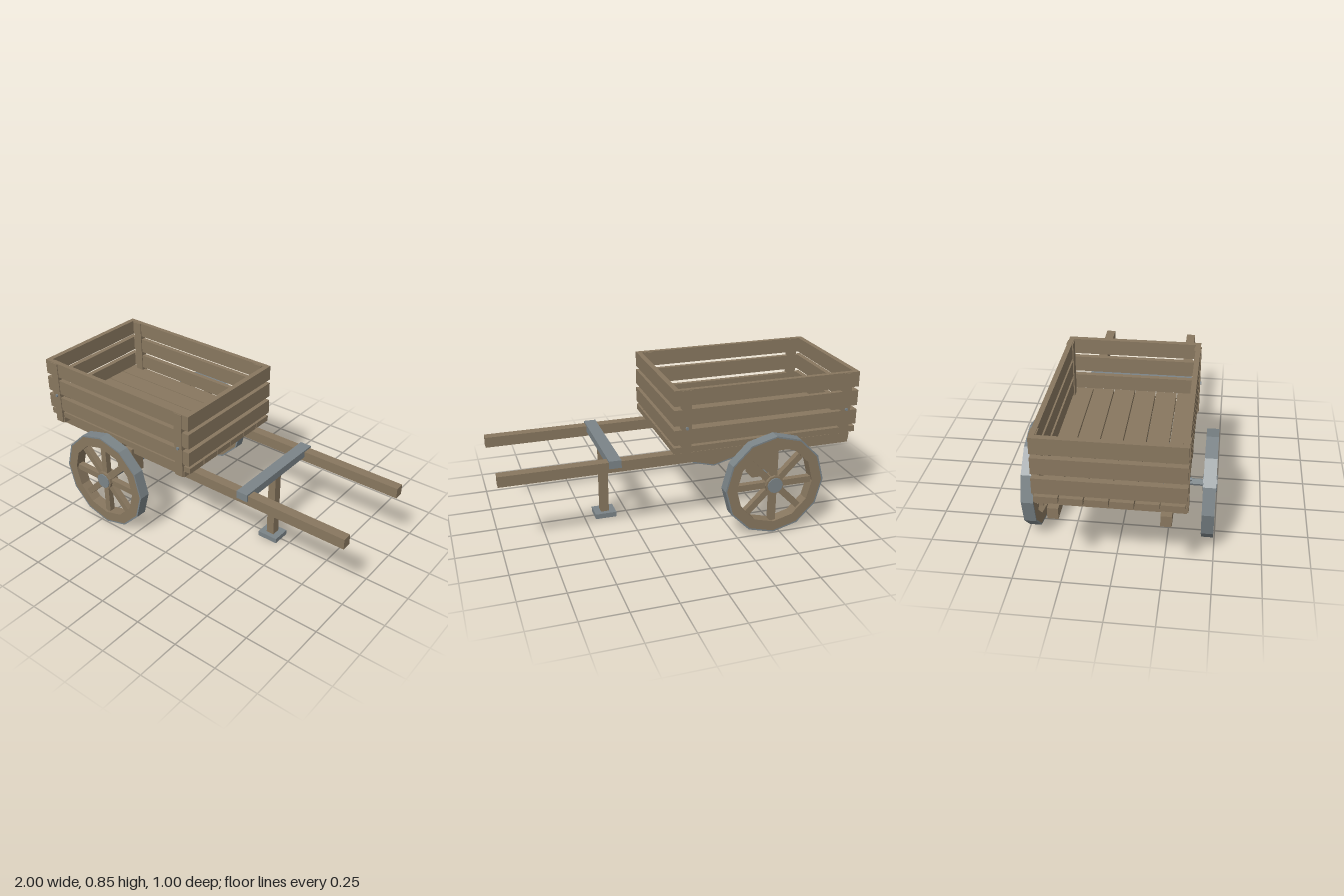
import * as THREE from 'three';

const wood = new THREE.MeshStandardMaterial({ color: 0x88775f, flatShading: true });
wood.name = 'weathered wood';
const steel = new THREE.MeshStandardMaterial({ color: 0x7b8488, flatShading: true });
steel.name = 'grey steel';

const AXLE_X = -0.462, AXLE_Y = 0.29, WHEEL_Z = 0.462;
const POSTS_X = [-0.93, 0.005];

function add(parent, name, geometry, material, x = 0, y = 0, z = 0) {
  const mesh = new THREE.Mesh(geometry, material);
  mesh.name = name;
  mesh.position.set(x, y, z);
  parent.add(mesh);
  return mesh;
}

// Box given by its minimum and maximum on each axis
function beam(parent, name, material, [x0, x1], [y0, y1], [z0, z1]) {
  return add(parent, name, new THREE.BoxGeometry(x1 - x0, y1 - y0, z1 - z0), material,
    (x0 + x1) / 2, (y0 + y1) / 2, (z0 + z1) / 2);
}

// Cylinder lying along z
function rod(parent, name, material, radius, length, sides, x, y, z) {
  return add(parent, name, new THREE.CylinderGeometry(radius, radius, length, sides).rotateX(Math.PI / 2),
    material, x, y, z);
}

// Twelve-sided ring, centred on its depth
function ring(outer, inner, depth) {
  const corners = r => Array.from({ length: 12 }, (_, i) =>
    new THREE.Vector2(r * Math.cos(i * Math.PI / 6), r * Math.sin(i * Math.PI / 6)));
  const shape = new THREE.Shape(corners(outer));
  shape.holes.push(new THREE.Path(corners(inner)));
  return new THREE.ExtrudeGeometry(shape, { depth, bevelEnabled: false }).translate(0, 0, -depth / 2);
}

function makeWheel() {
  const wheel = new THREE.Group();
  add(wheel, 'tyreBand', ring(0.288, 0.279, 0.064), steel);
  add(wheel, 'wheelRim', ring(0.279, 0.222, 0.064), wood);
  for (let i = 0; i < 8; i++) {
    const spoke = new THREE.BoxGeometry(0.2, 0.036, 0.034).translate(0.13, 0, 0);
    add(wheel, 'spoke', spoke, wood).rotation.z = i * Math.PI / 4;
  }
  rod(wheel, 'hub', wood, 0.054, 0.062, 12, 0, 0, 0);
  rod(wheel, 'hubCap', steel, 0.044, 0.076, 12, 0, 0, 0);
  return wheel;
}

export function createModel() {
  const cart = new THREE.Group();
  cart.name = 'handcart';

  // Slatted walls of the bed
  for (const [y0, y1] of [[0.54, 0.625], [0.65, 0.738], [0.76, 0.847]]) {
    beam(cart, 'rearWallSlat', wood, [-1, -0.97], [y0, y1], [-0.367, 0.367]);
    beam(cart, 'frontWallSlat', wood, [0.045, 0.075], [y0, y1], [-0.367, 0.367]);
    for (const s of [-1, 1])
      beam(cart, 'sideWallSlat', wood, [-0.97, 0.045], [y0, y1], s < 0 ? [-0.367, -0.34] : [0.34, 0.367]);
  }

  // Floor boards
  for (let i = 0; i < 6; i++) {
    const z = (i - 2.5) * 0.1205;
    beam(cart, 'floorBoard', wood, [-1, 0.075], [0.49, 0.523], [z - 0.0575, z + 0.0575]);
  }

  // Beams under the floor, corner posts and bolts
  for (const x of [...POSTS_X, AXLE_X])
    beam(cart, 'floorBeam', wood, [x - 0.033, x + 0.033], [0.456, 0.49], [-0.365, 0.365]);
  for (const x of POSTS_X) {
    for (const s of [-1, 1]) {
      beam(cart, 'cornerPost', wood, [x - 0.026, x + 0.026], [0.458, 0.844], s < 0 ? [-0.372, -0.334] : [0.334, 0.372]);
      rod(cart, 'bolt', steel, 0.009, 0.02, 8, x, 0.634, s * 0.37);
    }
  }

  // Shafts, axle blocks and wheels on each side
  for (const s of [-1, 1]) {
    const side = new THREE.Group();
    side.name = s < 0 ? 'backRunningGear' : 'frontRunningGear';
    add(side, 'shaft', new THREE.BoxGeometry(2, 0.06, 0.054), wood, 0, 0.43, s * 0.27);
    add(side, 'axleBlock', new THREE.BoxGeometry(0.12, 0.168, 0.09), wood, AXLE_X, 0.347, s * 0.27);
    const wheel = makeWheel();
    wheel.name = 'wheel';
    wheel.position.set(AXLE_X, AXLE_Y, s * WHEEL_Z);
    side.add(wheel);
    cart.add(side);
  }
  beam(cart, 'bolster', wood, [AXLE_X - 0.06, AXLE_X + 0.06], [0.428, 0.458], [-0.243, 0.243]);
  rod(cart, 'axle', steel, 0.019, 0.88, 8, AXLE_X, AXLE_Y, 0);

  // Crossbar with its standing leg
  beam(cart, 'crossbar', steel, [0.347, 0.415], [0.426, 0.47], [-0.306, 0.306]);
  beam(cart, 'standLeg', wood, [0.358, 0.404], [0.03, 0.43], [-0.025, 0.025]);
  beam(cart, 'standFoot', steel, [0.32, 0.442], [0.002, 0.031], [-0.053, 0.053]);

  return cart;
}
